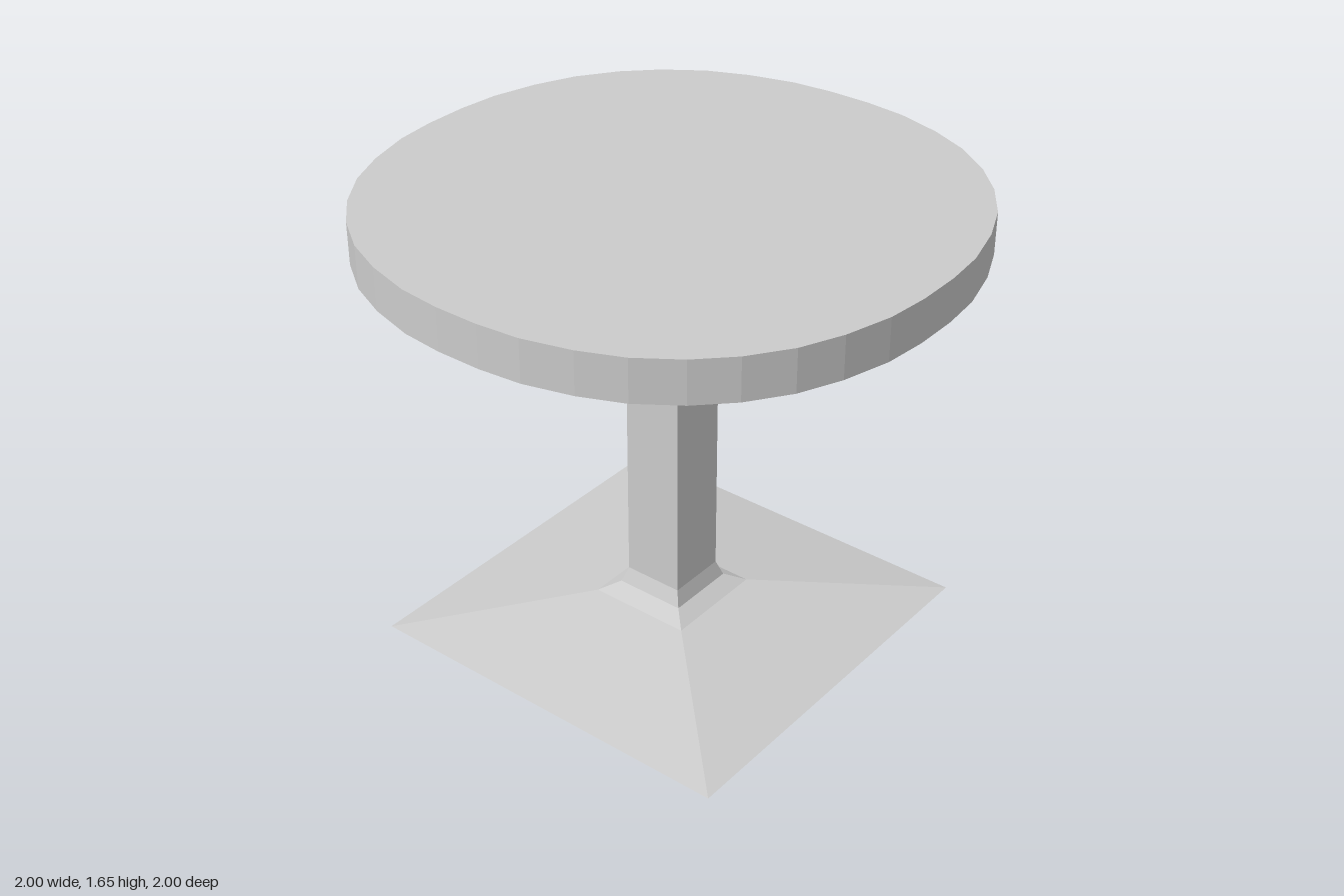
import * as THREE from 'three';

const material = new THREE.MeshStandardMaterial({ color: 0xcccccc, flatShading: true });

// Square turned form: profile of [half width, height] pairs, bottom to top
function squareLathe(name, profile) {
  const points = profile.map(([half, y]) => new THREE.Vector2(half * Math.SQRT2, y));
  const mesh = new THREE.Mesh(new THREE.LatheGeometry(points, 4, Math.PI / 4), material);
  mesh.name = name;
  return mesh;
}

// Slightly squarish round top, one quadrant of the outline repeated four times
function tabletop(bottom, thickness) {
  const half = [[1, 0.08], [0.985, 0.23], [0.94, 0.395], [0.877, 0.54], [0.783, 0.675]];
  const quadrant = [...half, ...half.map(([x, y]) => [y, x]).reverse()];
  const outline = [];
  for (let q = 0; q < 4; q++) {
    for (const [x, y] of quadrant) {
      outline.push(new THREE.Vector2(x, y).rotateAround(new THREE.Vector2(), q * Math.PI / 2));
    }
  }
  const geometry = new THREE.ExtrudeGeometry(new THREE.Shape(outline), { depth: thickness, bevelEnabled: false });
  geometry.rotateX(-Math.PI / 2).translate(0, bottom, 0);
  const mesh = new THREE.Mesh(geometry, material);
  mesh.name = 'tabletop';
  return mesh;
}

export function createModel() {
  const group = new THREE.Group();
  group.name = 'pedestalTable';
  group.add(
    // Low pyramid foot with a closed underside
    squareLathe('base', [[0, 0], [0.715, 0], [0.19, 0.1]]),
    // Flared transition between foot and post
    squareLathe('collar', [[0.19, 0.1], [0.13, 0.133], [0.11, 0.19]]),
    squareLathe('post', [[0.11, 0.19], [0.11, 1.5]]),
    tabletop(1.5, 0.15),
  );
  return group;
}
